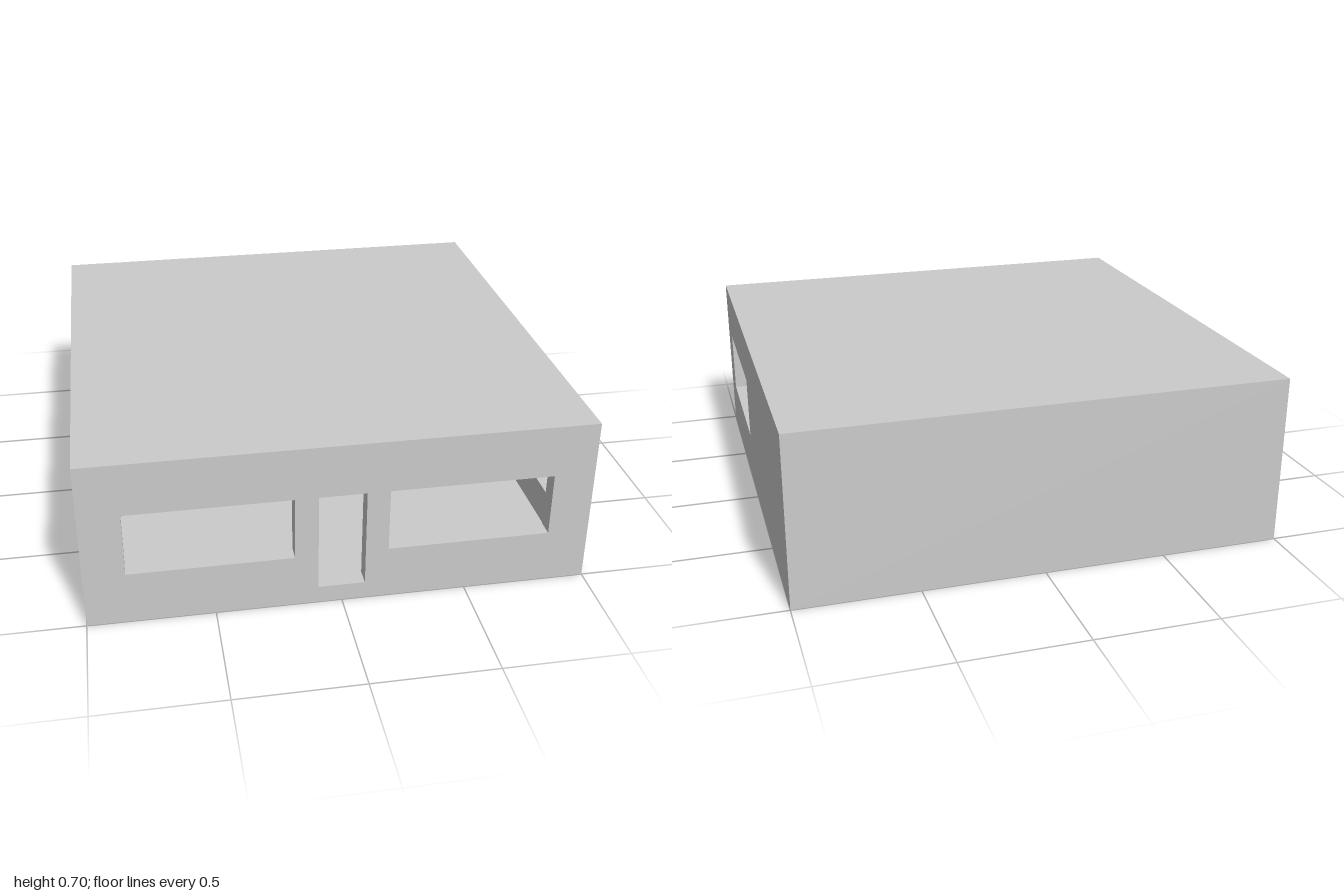
import * as THREE from 'three';

const H = 0.705; // overall height
const T = 0.07;  // shell thickness

// Panel whose outer face is at z = 0, with mitred borders so the outside is seamless.
// Openings are [x0, x1, y0, y1] measured from the panel centre.
function panelGeometry(w, h, openings = []) {
  const shape = new THREE.Shape([
    new THREE.Vector2(-w / 2, -h / 2), new THREE.Vector2(w / 2, -h / 2),
    new THREE.Vector2(w / 2, h / 2), new THREE.Vector2(-w / 2, h / 2),
  ]);
  for (const [x0, x1, y0, y1] of openings) {
    shape.holes.push(new THREE.Path([
      new THREE.Vector2(x0, y0), new THREE.Vector2(x0, y1),
      new THREE.Vector2(x1, y1), new THREE.Vector2(x1, y0),
    ]));
  }
  const geo = new THREE.ExtrudeGeometry(shape, { depth: T, bevelEnabled: false });
  geo.translate(0, 0, -T);
  // pull the inner outline in by the thickness
  const p = geo.attributes.position;
  for (let i = 0; i < p.count; i++) {
    if (p.getZ(i) > -T / 2) continue;
    const x = p.getX(i), y = p.getY(i);
    if (Math.abs(x) > w / 2 - 1e-4) p.setX(i, x - Math.sign(x) * T);
    if (Math.abs(y) > h / 2 - 1e-4) p.setY(i, y - Math.sign(y) * T);
  }
  geo.computeVertexNormals();
  return geo;
}

export function createModel() {
  const group = new THREE.Group();
  const material = new THREE.MeshStandardMaterial({ color: 0xcccccc, flatShading: true });

  function add(name, geometry, position, rotation = [0, 0, 0]) {
    const mesh = new THREE.Mesh(geometry, material);
    mesh.name = name;
    mesh.position.set(...position);
    mesh.rotation.set(...rotation);
    group.add(mesh);
  }

  // window and door openings
  const c = H / 2;
  const sill = 0.222 - c, head = 0.487 - c;
  const frontOpenings = [
    [-0.838, -0.187, sill, head],
    [-0.095, 0.092, T - c + 0.002, head],
    [0.183, 0.835, sill, head],
  ];
  const sideOpenings = [[-0.838, -0.187, sill, head]];

  // outer shell
  const q = Math.PI / 2;
  add('frontWall', panelGeometry(2, H, frontOpenings), [0, c, 1]);
  add('backWall', panelGeometry(2, H), [0, c, -1], [0, Math.PI, 0]);
  add('leftWall', panelGeometry(2, H, sideOpenings), [1, c, 0], [0, q, 0]);
  add('rightWall', panelGeometry(2, H), [-1, c, 0], [0, -q, 0]);
  add('roof', panelGeometry(2, 2), [0, H, 0], [-q, 0, 0]);
  add('floor', panelGeometry(2, 2), [0, 0, 0], [q, 0, 0]);

  // inner partition closing off the back corner room
  const inner = 1 - T, roomX = 0.52, roomH = H - 2 * T;
  add('partitionFront', new THREE.BoxGeometry(inner - roomX, roomH, T),
    [(inner + roomX) / 2, c, -T / 2]);
  add('partitionSide', new THREE.BoxGeometry(T, roomH, inner - T),
    [roomX + T / 2, c, -(inner + T) / 2]);

  return group;
}
